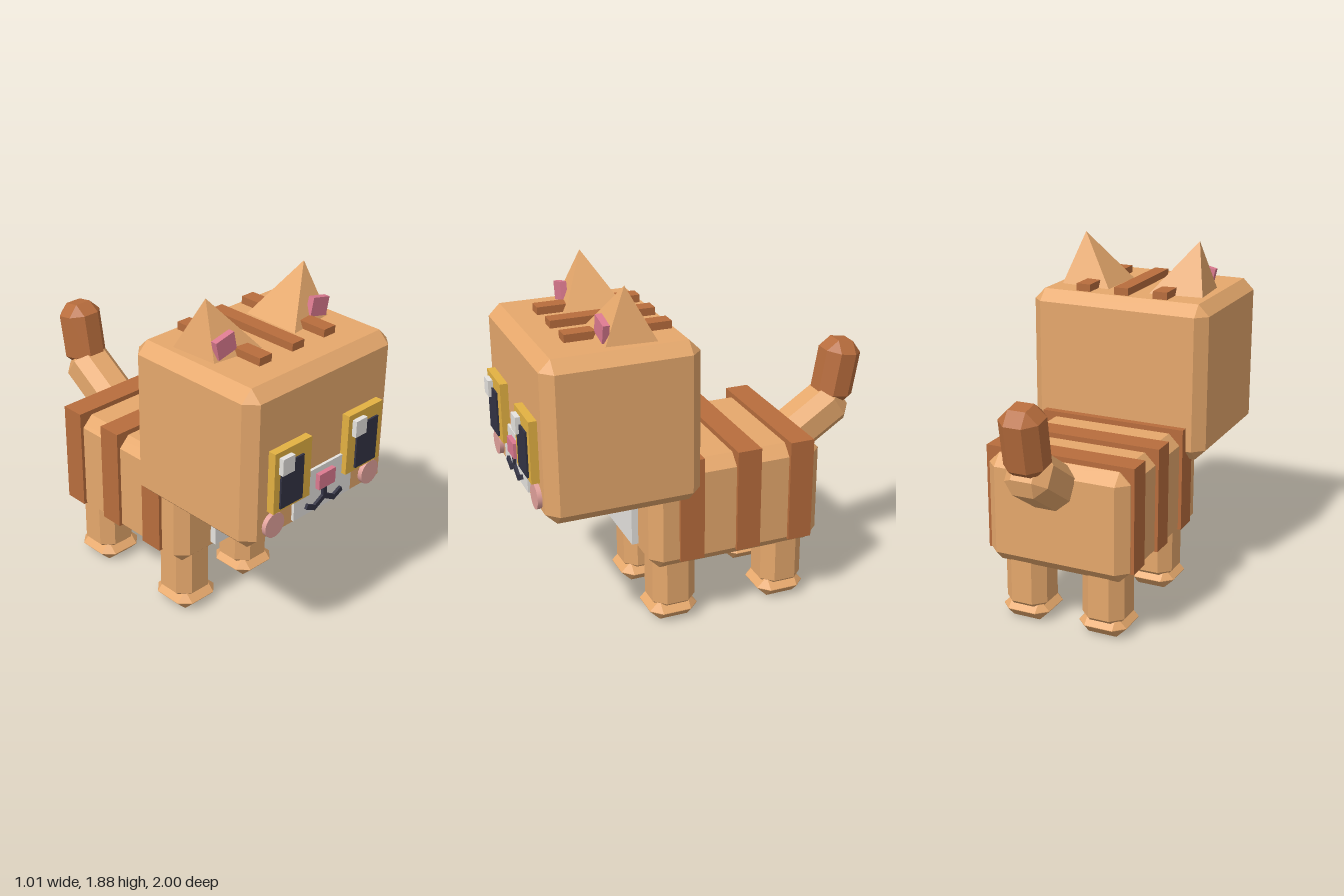
import * as THREE from 'three';
import { ConvexGeometry } from 'three/addons/geometries/ConvexGeometry.js';

const material = (name, color) => {
  const m = new THREE.MeshStandardMaterial({ color });
  m.name = name;
  return m;
};

// Box with every edge cut at 45 degrees
function chamferBox(w, h, d, c) {
  const x = w / 2, y = h / 2, z = d / 2, pts = [];
  for (const i of [-1, 1]) for (const j of [-1, 1]) for (const k of [-1, 1]) {
    pts.push(
      new THREE.Vector3(i * x, j * (y - c), k * (z - c)),
      new THREE.Vector3(i * (x - c), j * y, k * (z - c)),
      new THREE.Vector3(i * (x - c), j * (y - c), k * z));
  }
  return new ConvexGeometry(pts);
}

export function createModel() {
  const model = new THREE.Group();
  model.name = 'blockCat';

  const fur = material('orangeFur', 0xe6a86c);
  const stripe = material('brownStripe', 0xb86d3d);
  const white = material('white', 0xe6e3df);
  const gold = material('goldEye', 0xe3b142);
  const dark = material('darkNavy', 0x333344);
  const pink = material('pink', 0xdc7a90);
  const blush = material('blush', 0xe2a29c);

  const add = (name, geometry, mat, x, y, z) => {
    const mesh = new THREE.Mesh(geometry, mat);
    mesh.name = name;
    mesh.position.set(x, y, z);
    model.add(mesh);
    return mesh;
  };
  // Plain box given by its limits on each axis
  const box = (name, mat, [x0, x1], [y0, y1], [z0, z1]) =>
    add(name, new THREE.BoxGeometry(x1 - x0, y1 - y0, z1 - z0), mat,
      (x0 + x1) / 2, (y0 + y1) / 2, (z0 + z1) / 2);

  // Body, chest patch and bands
  add('body', chamferBox(0.79, 0.59, 0.965, 0.06), fur, 0, 0.633, -0.122);
  box('chestPatch', white, [-0.185, 0.185], [0.415, 0.84], [0.34, 0.396]);
  for (const z of [0.145, -0.173, -0.473])
    box('bodyBand', stripe, [-0.413, 0.413], [0.39, 0.955], [z - 0.066, z + 0.066]);

  // Legs and paws
  const legGeometry = chamferBox(0.237, 0.42, 0.24, 0.06);
  const pawGeometry = chamferBox(0.268, 0.115, 0.268, 0.056);
  for (const s of [-1, 1]) {
    for (const [name, z] of [['front', 0.2], ['back', -0.43]]) {
      add(name + 'Leg', legGeometry, fur, s * 0.222, 0.255, z);
      add(name + 'Paw', pawGeometry, fur, s * 0.222, 0.0575, z + 0.009);
    }
  }

  // Head
  add('head', chamferBox(1.01, 0.85, 0.81, 0.06), fur, 0, 1.19, 0.525);
  for (const x of [-0.222, 0, 0.222])
    box('headStripe', stripe, [x - 0.04, x + 0.04], [1.58, 1.655], [0.195, 0.745]);

  for (const s of [-1, 1]) {
    // Leaning pyramid ear with a tilted inner plate
    const ear = [[0.412, 1.61, 0.322], [0.115, 1.61, 0.292], [0.11, 1.61, 0.622],
      [0.395, 1.61, 0.585], [0.335, 1.885, 0.463]];
    add('ear', new ConvexGeometry(ear.map(([x, y, z]) => new THREE.Vector3(s * x, y, z))), fur, 0, 0, 0);
    add('innerEar', new THREE.BoxGeometry(0.118, 0.096, 0.034), pink, s * 0.323, 1.684, 0.575)
      .rotation.z = -s * 0.22;

    // Eye: gold frame, pupil and highlight
    const x = s * 0.257;
    box('eye', gold, [x - 0.125, x + 0.125], [0.967, 1.292], [0.91, 0.972]);
    const p = s * 0.268;
    box('pupil', dark, [p - 0.076, p + 0.076], [0.985, 1.225], [0.95, 0.982]);
    box('eyeHighlight', white, [x - 0.097, x - 0.018], [1.175, 1.263], [0.96, 0.998]);

    // Cheek
    add('cheek', new THREE.CylinderGeometry(0.065, 0.065, 0.04, 20), blush, s * 0.348, 0.885, 0.934)
      .rotation.x = Math.PI / 2;

    // Mouth curve in two short strokes
    for (const [x0, y0, x1, y1] of [[0, 0.9, 0.078, 0.857], [0.062, 0.857, 0.127, 0.889]]) {
      const bar = new THREE.BoxGeometry(Math.hypot(x1 - x0, y1 - y0), 0.026, 0.03);
      add('mouthCurve', bar, dark, s * (x0 + x1) / 2, (y0 + y1) / 2, 0.945)
        .rotation.z = s * Math.atan2(y1 - y0, x1 - x0);
    }
  }

  // Muzzle, nose and mouth line
  box('muzzle', white, [-0.207, 0.207], [0.838, 1.073], [0.91, 0.945]);
  box('nose', pink, [-0.058, 0.058], [0.96, 1.043], [0.92, 0.97]);
  box('mouthLine', dark, [-0.013, 0.013], [0.885, 0.965], [0.93, 0.96]);

  // Tail in two sections
  add('tailBase', chamferBox(0.235, 0.39, 0.235, 0.06), fur, 0, 0.9, -0.735).rotation.x = -0.99;
  add('tailTip', chamferBox(0.215, 0.36, 0.21, 0.06), stripe, 0, 1.147, -0.877).rotation.x = -0.175;

  return model;
}
